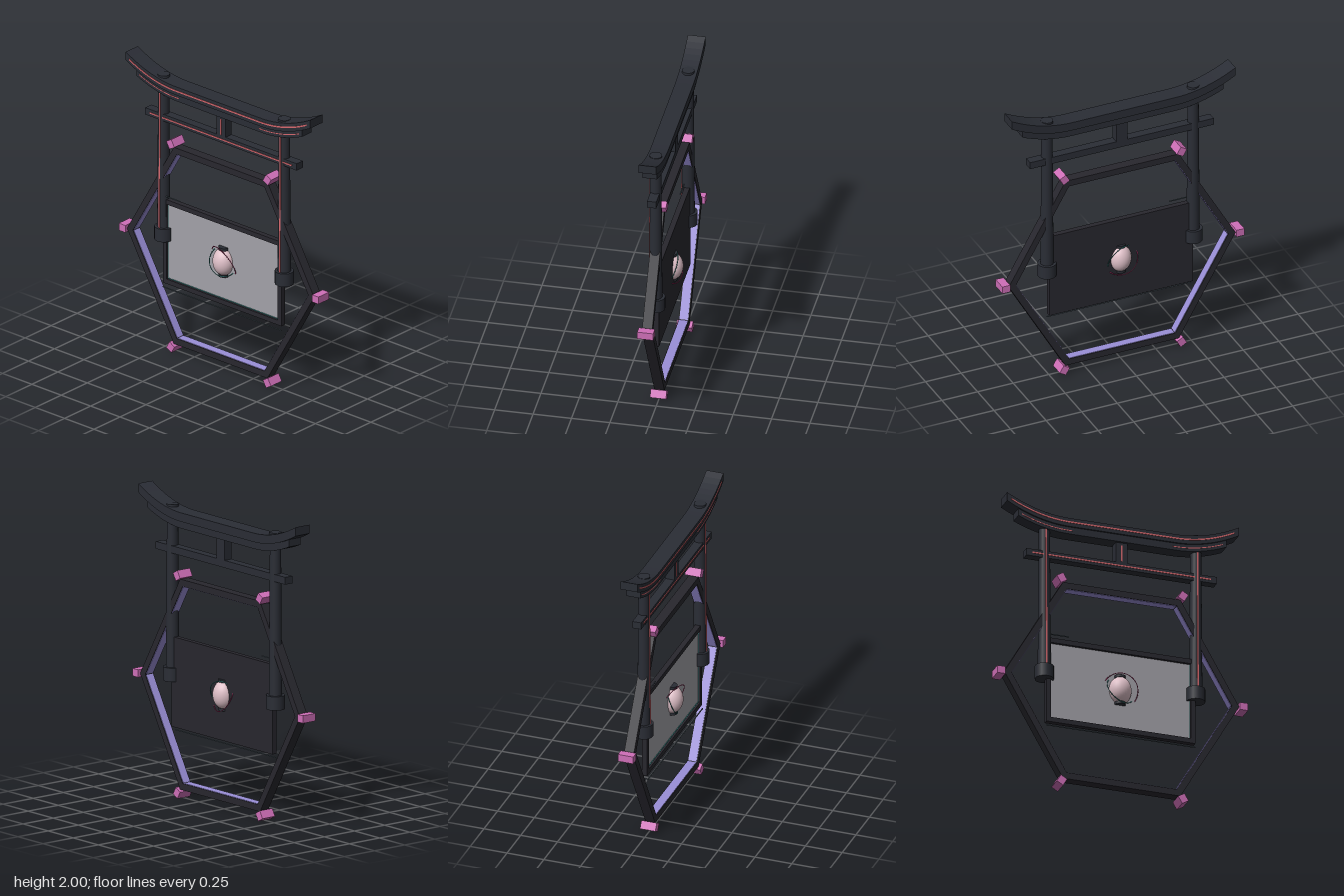
import * as THREE from 'three';

const mat = (name, color) => Object.assign(new THREE.MeshStandardMaterial({ color }), { name });

export function createModel() {
  const group = new THREE.Group();
  const lacquer = mat('dark lacquer', 0x2a2d35);
  const frameDark = mat('frame charcoal', 0x28272e);
  const red = mat('coral inlay', 0xd8686e);
  const pink = mat('orchid clamp', 0xcf6fb8);
  const lavender = mat('lavender lining', 0x9a8fd8);
  const grey = mat('grey screen', 0xa2a1a8);
  const shell = mat('pale rose shell', 0xdfc0c8);
  const teal = mat('teal trim', 0x2f8580);
  const magenta = mat('magenta ring', 0xb8326e);
  const slate = mat('slate line', 0x46525a);

  const add = (name, geo, m, x = 0, y = 0, z = 0, parent = group) => {
    const mesh = new THREE.Mesh(geo, m);
    mesh.name = name;
    mesh.position.set(x, y, z);
    parent.add(mesh);
    return mesh;
  };
  const box = (name, w, h, d, m, x, y, z, parent) =>
    add(name, new THREE.BoxGeometry(w, h, d), m, x, y, z, parent);

  // Upswept beams: flat in the middle, rising towards both ends
  const rise = (x) => 0.637 * Math.max(0, Math.abs(x) - 0.36) ** 2;
  const beam = (name, x0, x1, low, high, z0, z1, m) => {
    const top = [], bottom = [], n = 36;
    for (let i = 0; i <= n; i++) {
      const x = x0 + (x1 - x0) * i / n;
      bottom.push(new THREE.Vector2(x, low + rise(x)));
      top.unshift(new THREE.Vector2(x, high + rise(x)));
    }
    const geo = new THREE.ExtrudeGeometry(new THREE.Shape([...bottom, ...top]),
      { depth: z1 - z0, bevelEnabled: false });
    return add(name, geo, m, 0, 0, z0);
  };
  beam('upperBeam', -0.785, 0.785, 1.828, 1.886, -0.058, 0.058, lacquer);
  beam('lowerBeam', -0.705, 0.705, 1.78, 1.83, -0.047, 0.047, lacquer);
  beam('upperBeamInlay', -0.755, 0.755, 1.853, 1.863, 0.056, 0.061, red);

  // Tie beam and centre strut
  box('tieBeam', 1.29, 0.048, 0.06, lacquer, 0, 1.619, 0);
  box('tieBeamInlay', 1.21, 0.009, 0.005, red, 0, 1.619, 0.031);
  box('centreStrut', 0.078, 0.15, 0.06, lacquer, 0, 1.71, 0);
  box('centreStrutInlay', 0.009, 0.11, 0.005, red, 0, 1.705, 0.031);

  // Pillars with collars, caps and inlays
  for (const s of [-1, 1]) {
    const pillar = new THREE.Group();
    pillar.name = s > 0 ? 'leftPillar' : 'rightPillar';
    pillar.position.x = s * 0.513;
    group.add(pillar);
    add('shaft', new THREE.CylinderGeometry(0.036, 0.043, 1.06, 20), lacquer, 0, 1.3, 0, pillar);
    add('collar', new THREE.CylinderGeometry(0.061, 0.061, 0.09, 20), lacquer, 0, 0.8, 0, pillar);
    add('cap', new THREE.CylinderGeometry(0.04, 0.04, 0.11, 20), lacquer, 0, 1.857, 0, pillar);
    const inlay = box('pillarInlay', 0.009, 0.95, 0.005, red, 0, 1.32, 0.04, pillar);
    inlay.rotation.x = -0.0066;
    const a = s * 0.34, b = s * 0.68;
    beam('lowerBeamInlay', Math.min(a, b), Math.max(a, b), 1.801, 1.807, 0.044, 0.0485, red);
  }

  // Hexagonal frame with lavender inner lining and corner clamps
  const cy = 0.752;
  const hexPoints = (r) => Array.from({ length: 6 }, (_, i) =>
    new THREE.Vector2(r * Math.cos(i * Math.PI / 3), r * Math.sin(i * Math.PI / 3)));
  const hex = new THREE.Shape(hexPoints(0.796));
  hex.holes.push(new THREE.Path(hexPoints(0.746)));
  add('hexagonFrame', new THREE.ExtrudeGeometry(hex, { depth: 0.066, bevelEnabled: false }),
    frameDark, 0, cy, -0.033);
  for (let i = 0; i < 6; i++) {
    const corner = i * Math.PI / 3, mid = corner + Math.PI / 6;
    const lining = box('hexagonLining', 0.004, 0.738, 0.056, lavender,
      0.645 * Math.cos(mid), cy + 0.645 * Math.sin(mid), 0);
    lining.rotation.z = mid;
    const clamp = box('cornerClamp', 0.055, 0.05, 0.104, pink,
      0.822 * Math.cos(corner), cy + 0.822 * Math.sin(corner), 0);
    clamp.rotation.z = corner;
  }

  // Framed screen: dark back, grey front, thin teal edging
  const screen = new THREE.Group();
  screen.name = 'screen';
  screen.position.y = 0.75;
  group.add(screen);
  box('screenBack', 1.008, 0.59, 0.014, frameDark, 0, 0, -0.011, screen);
  box('screenFace', 0.95, 0.53, 0.005, grey, 0, 0, -0.002, screen);
  for (const s of [-1, 1]) {
    box('screenRail', 1.008, 0.033, 0.036, frameDark, 0, s * 0.2785, 0, screen);
    box('screenStile', 0.031, 0.59, 0.036, frameDark, s * 0.4885, 0, 0, screen);
    box('sideEdging', 0.003, 0.52, 0.004, teal, s * 0.4715, 0, 0.002, screen);
  }
  box('bottomEdging', 0.94, 0.003, 0.004, teal, 0, -0.26, 0.002, screen);
  box('lowerLine', 1.008, 0.006, 0.006, slate, 0, -0.323, 0.02, screen);
  box('upperLine', 0.12, 0.006, 0.006, slate, -0.415, 0.318, 0.02, screen);

  // Egg-shaped core with end caps and two tilted rings
  const core = new THREE.Group();
  core.name = 'core';
  core.position.y = 0.753;
  group.add(core);
  add('coreShell', new THREE.SphereGeometry(1, 28, 20), shell, 0, 0, 0, core)
    .scale.set(0.074, 0.094, 0.073);
  for (const s of [-1, 1])
    add('coreCap', new THREE.CylinderGeometry(0.036, 0.036, 0.018, 20), lacquer, 0, s * 0.093, 0, core);
  const ring = (name, r, m, rx, ry) =>
    add(name, new THREE.TorusGeometry(r, 0.0025, 6, 56), m, 0, 0, 0, core).rotation.set(rx, ry, 0);
  ring('magentaRing', 0.115, magenta, 0.45, -0.25);
  ring('tealRing', 0.1, teal, -0.4, 0.3);

  return group;
}
